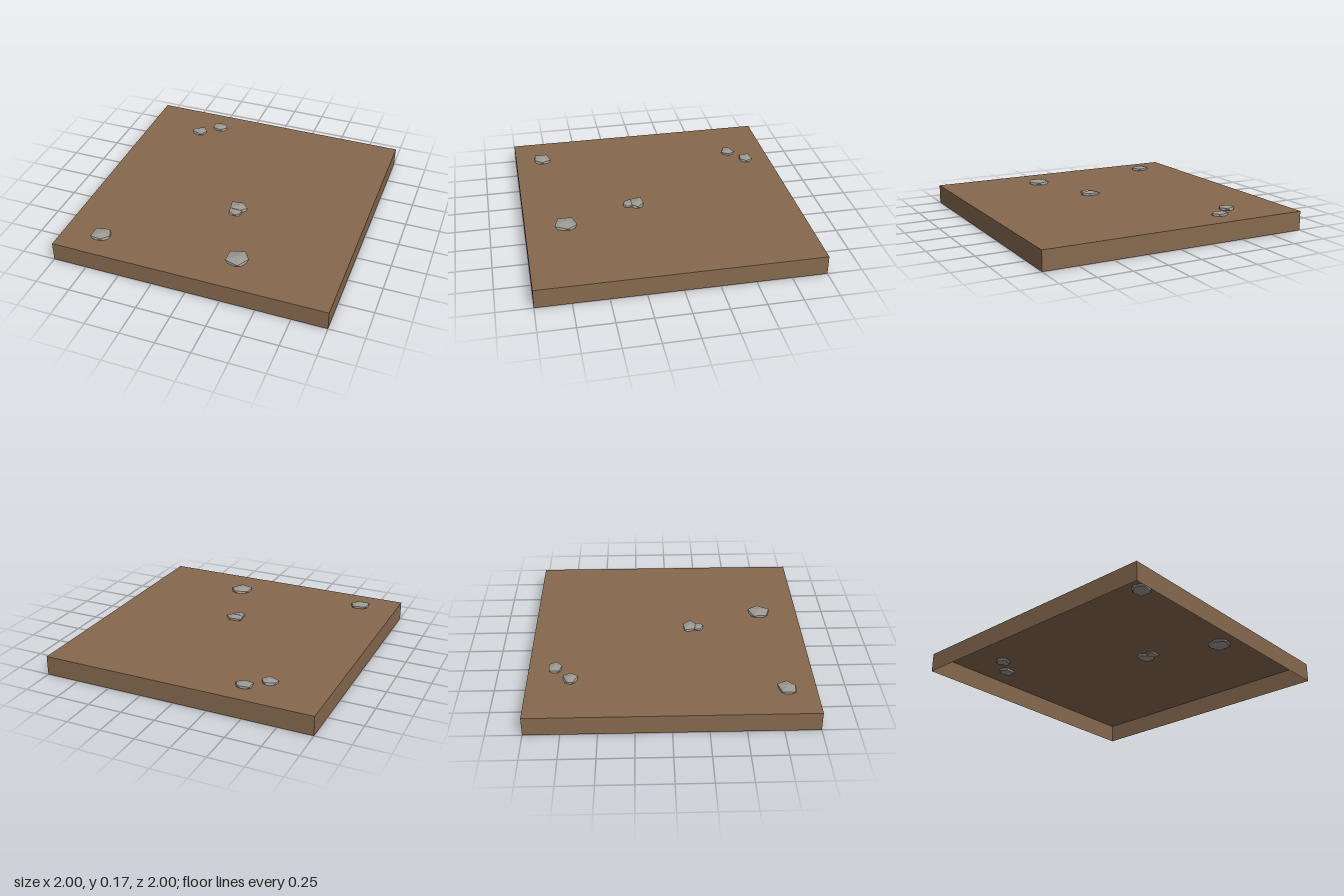
import * as THREE from 'three';
import { ConvexGeometry } from 'three/addons/geometries/ConvexGeometry.js';

const TOP = 0.14; // height of the soil surface

const soil = new THREE.MeshStandardMaterial({ color: 0x86694e, side: THREE.DoubleSide });
soil.name = 'soil brown';
const stone = new THREE.MeshStandardMaterial({ color: 0x9c9a92, flatShading: true });
stone.name = 'stone grey';

// Ground slab: a box left open underneath
function makeGround() {
  const geo = new THREE.BoxGeometry(2, TOP, 2);
  const index = Array.from(geo.index.array);
  index.splice(18, 6); // drop the bottom face
  geo.setIndex(index);
  geo.clearGroups();
  geo.translate(0, TOP / 2, 0);
  const mesh = new THREE.Mesh(geo, soil);
  mesh.name = 'ground';
  return mesh;
}

// Flattened stone: five-sided rim and apex, mirrored through its centre below the soil
function makeStone({ name, rim, peak, ringHeight = 0.016 }) {
  const cx = rim.reduce((s, p) => s + p[0], 0) / rim.length;
  const cz = rim.reduce((s, p) => s + p[1], 0) / rim.length;
  const points = [new THREE.Vector3(0, peak, 0), new THREE.Vector3(0, -peak, 0)];
  for (const [x, z, h = ringHeight] of rim) {
    points.push(new THREE.Vector3(x - cx, h, z - cz));
    points.push(new THREE.Vector3((cx - x) * 0.93, -h, (cz - z) * 0.93));
  }
  const mesh = new THREE.Mesh(new ConvexGeometry(points), stone);
  mesh.name = name;
  mesh.position.set(cx, TOP, cz);
  return mesh;
}

// Rim corners as x, z and optional height above the soil
const STONES = [
  { name: 'backStoneInner', peak: 0.027,
    rim: [[-0.49, -0.85], [-0.41, -0.86], [-0.375, -0.81], [-0.42, -0.765], [-0.49, -0.78]] },
  { name: 'backStoneOuter', peak: 0.027,
    rim: [[-0.625, -0.72], [-0.55, -0.75], [-0.515, -0.7], [-0.55, -0.645], [-0.63, -0.68]] },
  { name: 'middleStoneLarge', peak: 0.03,
    rim: [[0.015, 0.125], [0.1, 0.115], [0.15, 0.165], [0.11, 0.205], [0.03, 0.2]] },
  { name: 'middleStoneSmall', peak: 0.022, ringHeight: 0.012,
    rim: [[0.025, 0.195], [0.12, 0.195], [0.115, 0.245], [0.08, 0.265], [0.035, 0.24]] },
  { name: 'frontStoneLeft', peak: 0.032,
    rim: [[0.2, 0.66], [0.3, 0.63], [0.35, 0.7], [0.3, 0.79], [0.2, 0.76]] },
  { name: 'frontStoneRight', peak: 0.03,
    rim: [[-0.78, 0.755], [-0.685, 0.73], [-0.65, 0.8], [-0.7, 0.855], [-0.78, 0.845]] },
];

export function createModel() {
  const model = new THREE.Group();
  model.name = 'stonyGround';
  model.add(makeGround());
  for (const spec of STONES) model.add(makeStone(spec));
  return model;
}
